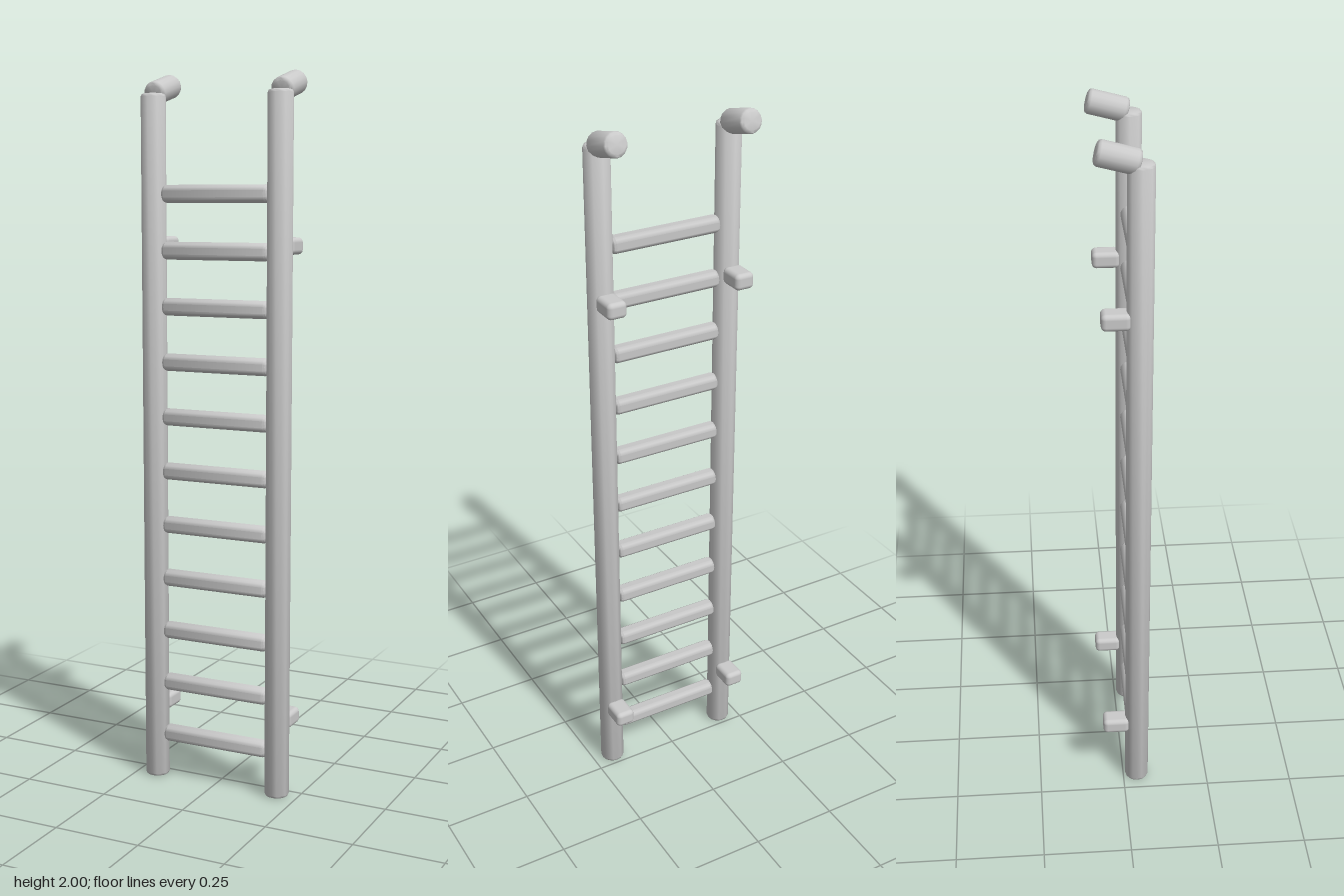
import * as THREE from 'three';
import { toCreasedNormals } from 'three/addons/utils/BufferGeometryUtils.js';
import { RoundedBoxGeometry } from 'three/addons/geometries/RoundedBoxGeometry.js';

// Closed rod along y, centred on the origin, with bevelled ends
function rodGeometry(radius, length, bevel, sides = 16) {
  const h = length / 2;
  const profile = [
    [0, -h], [radius - bevel, -h], [radius - bevel * 0.3, -h + bevel * 0.3], [radius, -h + bevel],
    [radius, h - bevel], [radius - bevel * 0.3, h - bevel * 0.3], [radius - bevel, h], [0, h],
  ].map(([x, y]) => new THREE.Vector2(x, y));
  return toCreasedNormals(new THREE.LatheGeometry(profile, sides), 0.9);
}

export function createModel() {
  const ladder = new THREE.Group();
  ladder.name = 'ladder';
  const metal = new THREE.MeshStandardMaterial({ color: 0xcacaca });
  metal.name = 'light grey metal';

  const add = (name, geometry, x, y, z) => {
    const mesh = new THREE.Mesh(geometry, metal);
    mesh.name = name;
    mesh.position.set(x, y, z);
    ladder.add(mesh);
    return mesh;
  };

  const railX = 0.19, railZ = 0.04, railHeight = 1.943;
  const rail = rodGeometry(0.0345, railHeight, 0.008);
  const hook = rodGeometry(0.0325, 0.11, 0.009);
  const bracket = new RoundedBoxGeometry(0.056, 0.046, 0.076, 3, 0.013);

  // Side rails, each with a backward top hook and two wall brackets
  for (const [side, s] of [['left', 1], ['right', -1]]) {
    const x = s * railX;
    add(side + 'Rail', rail, x, railHeight / 2, railZ);
    add(side + 'TopHook', hook, x, 1.956, -0.016).rotation.x = -Math.PI / 2 + 0.26;
    add(side + 'LowerBracket', bracket, x, 0.211, -0.022);
    add(side + 'UpperBracket', bracket, x, 1.534, -0.022);
  }

  // Evenly spaced rungs between the rails
  const rung = rodGeometry(0.0245, 0.316, 0.008);
  for (let i = 0; i < 11; i++) {
    add('rung' + (i + 1), rung, 0, 0.13 + i * 0.1543, railZ).rotation.z = Math.PI / 2;
  }
  return ladder;
}
